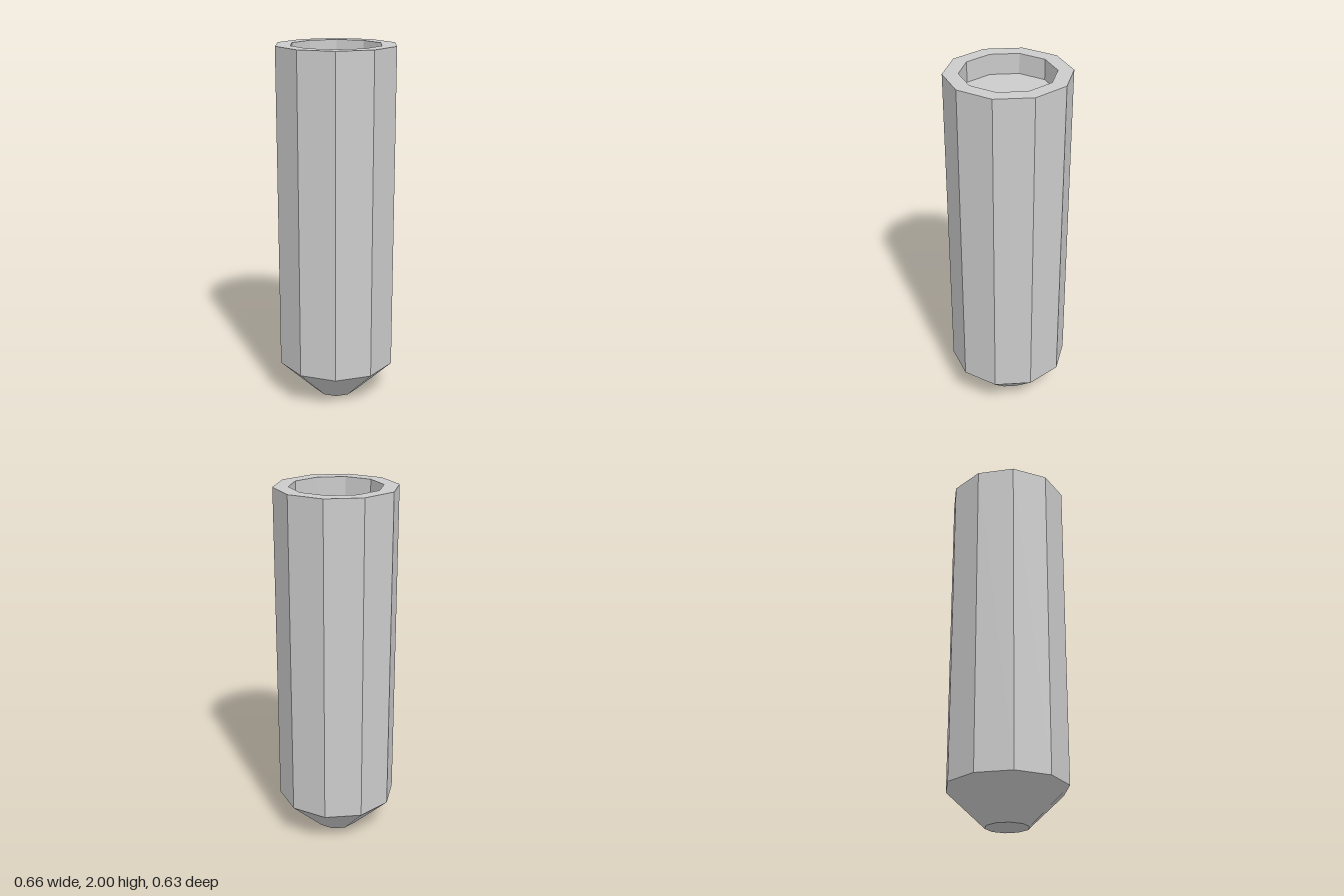
import * as THREE from 'three';

const SIDES = 10;
const OUTER = 0.332, INNER = 0.25, TIP = 0.118;
const HEIGHT = 2, SHOULDER = 0.205, FLOOR = 1.888;

export function createModel() {
  const model = new THREE.Group();
  model.name = 'taperedTube';
  const material = new THREE.MeshStandardMaterial({ color: 0xcccccc, flatShading: true });

  // Revolves a profile of [radius, height] points into a faceted ring, with corners on the x axis
  const addPart = (name, profile) => {
    const points = profile.map(([r, y]) => new THREE.Vector2(r, y));
    const mesh = new THREE.Mesh(new THREE.LatheGeometry(points, SIDES, Math.PI / 2), material);
    mesh.name = name;
    model.add(mesh);
  };

  // Blunt tapered tip with its flat end
  addPart('tip', [[0, 0], [TIP, 0], [OUTER, SHOULDER]]);
  // Long straight sides
  addPart('body', [[OUTER, SHOULDER], [OUTER, HEIGHT]]);
  // Flat rim around the opening
  addPart('rim', [[OUTER, HEIGHT], [INNER, HEIGHT]]);
  // Shallow recess: wall and floor
  addPart('recess', [[INNER, HEIGHT], [INNER, FLOOR], [0, FLOOR]]);

  return model;
}
